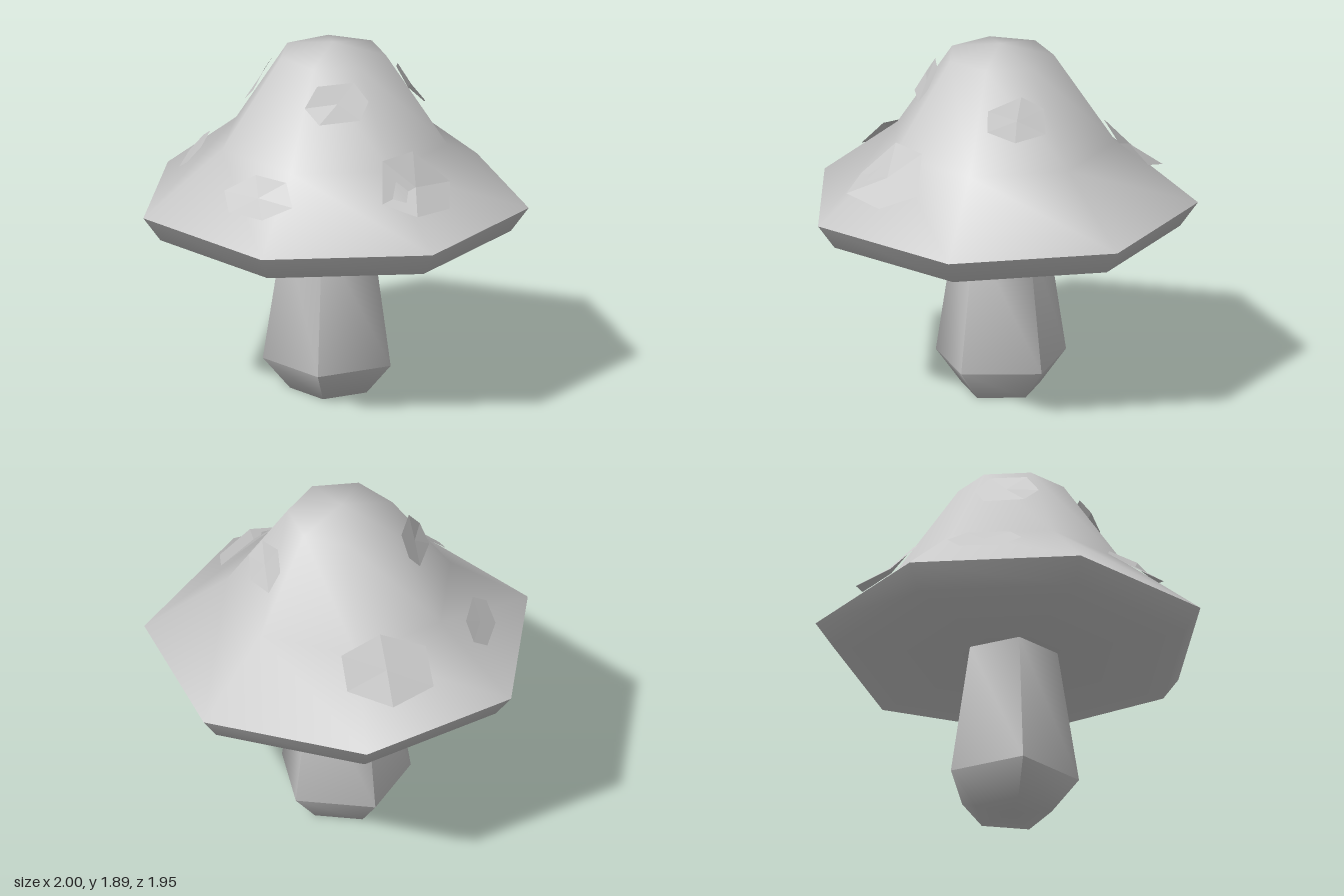
import * as THREE from 'three';
import { toCreasedNormals } from 'three/addons/utils/BufferGeometryUtils.js';

const grey = new THREE.MeshStandardMaterial({ color: 0xc8c8c8, side: THREE.DoubleSide });
grey.name = 'plainGrey';

// Low-poly turned form with one corner pointing to the back
function turned(name, profile, sides, x, z) {
  const points = profile.map(([r, y]) => new THREE.Vector2(r, y));
  const lathe = new THREE.LatheGeometry(points, sides, Math.PI);
  const mesh = new THREE.Mesh(toCreasedNormals(lathe, THREE.MathUtils.degToRad(76)), grey);
  mesh.name = name;
  mesh.position.set(x, 0, z);
  return mesh;
}

// Six-cornered plate, fanned from its middle
function spot(name, corners) {
  const pts = corners.map((c) => new THREE.Vector3(...c));
  const middle = new THREE.Vector3();
  pts.forEach((p) => middle.addScaledVector(p, 1 / pts.length));
  const fan = pts.flatMap((p, i) => [middle, p, pts[(i + 1) % pts.length]]);
  // Turn the face outward if the corners run the other way
  const normal = new THREE.Triangle(fan[0], fan[1], fan[2]).getNormal(new THREE.Vector3());
  if (normal.y < 0) fan.reverse();
  const geometry = new THREE.BufferGeometry().setFromPoints(fan);
  geometry.computeVertexNormals();
  const mesh = new THREE.Mesh(geometry, grey);
  mesh.name = name;
  return mesh;
}

const mirrored = (corners) => corners.map(([x, y, z]) => [-x, y, z]);

export function createModel() {
  const model = new THREE.Group();
  model.name = 'mushroom';

  // Five-sided stem and seven-sided cap
  model.add(turned('stem', [[0, 0], [0.212, 0], [0.354, 0.17], [0.242, 0.9], [0, 0.91]], 5, -0.01, 0.053));
  model.add(turned('cap',
    [[0, 0.9], [0.933, 0.9], [1.026, 1.03], [0.6, 1.36], [0.28, 1.83], [0, 1.89]], 7, 0, 0.05));

  // Spots on the cap
  const upper = [[0.385, 1.685, 0.155], [0.395, 1.6, 0.225], [0.283, 1.59, 0.41],
    [0.195, 1.665, 0.43], [0.198, 1.765, 0.345], [0.303, 1.775, 0.182]];
  model.add(spot('upperLeftSpot', upper), spot('upperRightSpot', mirrored(upper)));
  model.add(spot('frontSpot', [[-0.04, 1.24, 0.78], [0.08, 1.33, 0.67], [0.3, 1.34, 0.66],
    [0.4, 1.24, 0.71], [0.31, 1.18, 0.84], [0.08, 1.17, 0.86]]));
  model.add(spot('lowerLeftSpot', [[0.675, 1.25, -0.15], [0.82, 1.17, -0.01], [0.845, 1.19, 0.24],
    [0.68, 1.24, 0.335], [0.55, 1.415, 0.21], [0.545, 1.415, -0.01]]));
  model.add(spot('lowerRightFrontSpot', [[-0.725, 1.25, 0.285], [-0.735, 1.185, 0.375], [-0.615, 1.17, 0.56],
    [-0.505, 1.235, 0.605], [-0.495, 1.3, 0.515], [-0.625, 1.31, 0.33]]));
  model.add(spot('lowerRightBackSpot', [[-0.56, 1.256, -0.485], [-0.435, 1.377, -0.4], [-0.5, 1.43, -0.18],
    [-0.65, 1.336, 0.005], [-0.78, 1.182, -0.07], [-0.755, 1.18, -0.345]]));
  model.add(spot('upperBackSpot', [[0.06, 1.54, -0.43], [0.03, 1.66, -0.375], [0.12, 1.72, -0.3],
    [0.29, 1.66, -0.24], [0.335, 1.57, -0.295], [0.225, 1.515, -0.39]]));

  return model;
}
